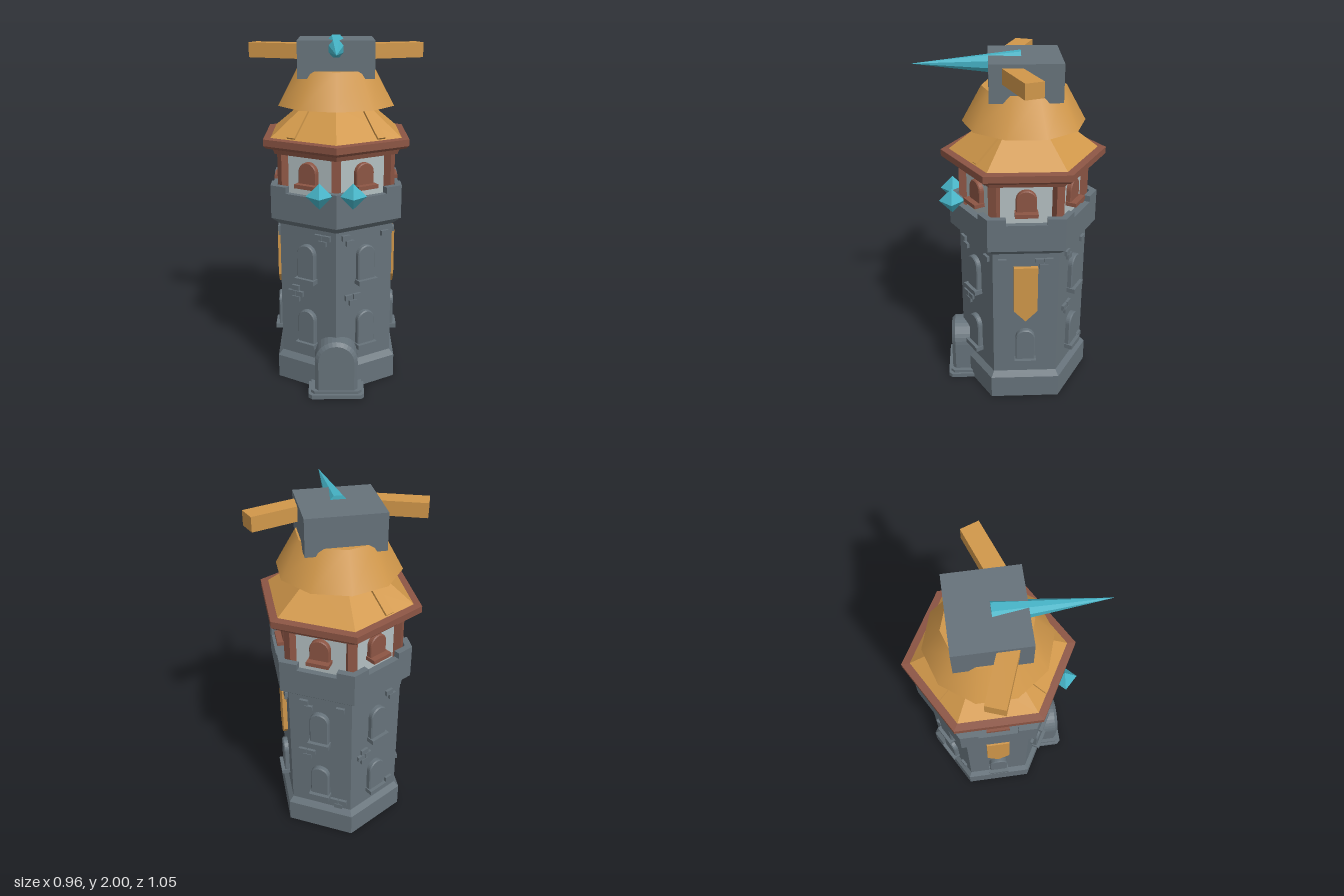
import * as THREE from 'three';

const mat = (name, color) => {
  const m = new THREE.MeshStandardMaterial({ color });
  m.name = name;
  return m;
};

export function createModel() {
  const stone = mat('stone', 0x66727a);
  const thatch = mat('ochre', 0xd0974a);
  const wood = mat('redWood', 0x8c5544);
  const plaster = mat('plaster', 0xb3bfc1);
  const crystal = mat('crystal', 0x45b3c6);

  const model = new THREE.Group();
  const tower = new THREE.Group();
  tower.name = 'tower';
  tower.position.z = -0.073;
  model.add(tower);

  const COS = Math.cos(Math.PI / 6);
  const add = (parent, name, geo, material, x = 0, y = 0, z = 0) => {
    const mesh = new THREE.Mesh(geo, material);
    mesh.name = name;
    mesh.position.set(x, y, z);
    parent.add(mesh);
    return mesh;
  };
  const flat = (geo) => {
    const g = geo.index ? geo.toNonIndexed() : geo;
    g.computeVertexNormals();
    return g;
  };
  const box = (w, h, d) => new THREE.BoxGeometry(w, h, d);
  // six-sided solid from a profile of [radius, y], corner towards +z
  const hex = (pts) => flat(new THREE.LatheGeometry(pts.map(p => new THREE.Vector2(...p)), 6));
  const extrude = (shape, depth, bevel = 0) => new THREE.ExtrudeGeometry(shape, {
    depth, curveSegments: 8, bevelEnabled: bevel > 0, bevelSize: bevel,
    bevelThickness: bevel, bevelOffset: -bevel, bevelSegments: 1,
  });
  const polygon = (pts) => new THREE.Shape(pts.map(p => new THREE.Vector2(...p)));
  const arch = (w, h, Type = THREE.Shape, y0 = 0) => {
    const s = new Type();
    s.moveTo(-w / 2, y0);
    s.lineTo(w / 2, y0);
    s.lineTo(w / 2, h - w / 2);
    s.absarc(0, h - w / 2, w / 2, 0, Math.PI, false);
    s.lineTo(-w / 2, y0);
    return s;
  };
  const archFrame = (w, h, t) => {
    const s = arch(w, h);
    s.holes.push(arch(w - 2 * t, h - t, THREE.Path, 0.004));
    return s;
  };
  // group lying on face i: x along the wall, z outwards
  const faceGroup = (i, name) => {
    const g = new THREE.Group();
    g.name = name;
    g.rotation.y = Math.PI / 6 + i * Math.PI / 3;
    tower.add(g);
    return g;
  };

  // stone shaft, plinth and parapet
  add(tower, 'stoneShaft', hex([
    [0, 0], [0.398, 0], [0.398, 0.14], [0.367, 0.172], [0.367, 0.97], [0.421, 1.01],
    [0.421, 1.165], [0.383, 1.165], [0.383, 1.13], [0, 1.13],
  ]), stone);

  // corner merlons
  const R = 0.421, arm = 0.1, t = 0.036;
  const ax = arm * COS, az = R - arm / 2;
  const merlon = extrude(polygon([
    [0, -R], [ax, -az], [ax - t / 2, -az + t * COS], [0, -R + t / COS],
    [-ax + t / 2, -az + t * COS], [-ax, -az],
  ]), 0.036);
  merlon.rotateX(-Math.PI / 2);

  // upper storey, posts and eaves
  add(tower, 'upperWalls', hex([[0.335, 1.12], [0.335, 1.41]]), plaster);
  for (let i = 0; i < 6; i++) {
    const corner = new THREE.Group();
    corner.name = 'corner';
    corner.rotation.y = i * Math.PI / 3;
    tower.add(corner);
    add(corner, 'merlon', merlon, stone, 0, 1.164, 0);
    add(corner, 'post', box(0.05, 0.27, 0.05), wood, 0, 1.26, 0.338);
  }
  add(tower, 'eaves', hex([
    [0, 1.375], [0.39, 1.375], [0.4, 1.4], [0.44, 1.41], [0.458, 1.425],
    [0.458, 1.462], [0.41, 1.466], [0, 1.466],
  ]), wood);

  // hexagonal lower roof with a few raised planks
  add(tower, 'lowerRoof', hex([[0.415, 1.464], [0.2, 1.63], [0.06, 1.74], [0, 1.74]]), thatch);
  const tilt = Math.atan2(0.166, 0.215 * COS);
  for (const [i, u] of [[0, 0.075], [5, -0.075], [3, 0.03]]) {
    const g = faceGroup(i, 'roofPlankSide');
    const plank = add(g, 'roofPlank', box(0.05, 0.02, 0.22), thatch, u, 1.545, 0.271);
    plank.rotation.x = tilt;
  }

  // upper roof collar
  add(tower, 'upperRoof', new THREE.CylinderGeometry(0.228, 0.336, 0.195, 10), thatch, 0, 1.722, 0);

  // stone windows, upper windows, banners and raised bricks on every wall
  const a = 0.367 * COS, b = 0.335 * COS;
  const stoneFrame = extrude(archFrame(0.112, 0.205, 0.026), 0.035, 0.006);
  const stonePane = extrude(arch(0.07, 0.185), 0.008);
  const woodFrame = extrude(archFrame(0.112, 0.125, 0.026), 0.03, 0.005);
  const woodPane = extrude(arch(0.07, 0.105), 0.008);
  const bannerGeo = extrude(polygon([
    [-0.067, 0.89], [-0.067, 0.61], [0, 0.54], [0.067, 0.61], [0.067, 0.89],
  ]), 0.03);
  // [u, y, pattern]: 0 single, 1 pair, 2 three, 3 cross
  const clusters = [
    [[-0.115, 0.92, 1], [0.128, 0.925, 0], [-0.08, 0.56, 2]],
    [[0.1, 0.91, 2], [-0.13, 0.925, 0]],
    [[-0.08, 0.915, 1], [0.12, 0.925, 0], [-0.08, 0.56, 2], [0.11, 0.21, 2]],
    [[0.1, 0.915, 1], [-0.09, 0.56, 3], [0.12, 0.25, 0]],
    [[0.1, 0.91, 2], [-0.13, 0.925, 0]],
    [[0.1, 0.915, 2], [-0.08, 0.565, 3]],
  ];
  const patterns = [
    [[0, 0]], [[-0.012, 0.017], [0.014, -0.017]],
    [[-0.026, 0.017], [0.026, 0.017], [0, -0.017]],
    [[0, 0.034], [-0.026, 0], [0.026, 0], [0, -0.034]],
  ];
  for (let i = 0; i < 6; i++) {
    const wall = faceGroup(i, 'wallDetails');
    const side = i % 3 === 1;
    for (const y of side ? [0.25] : [0.25, 0.65]) {
      add(wall, 'windowFrame', stoneFrame, stone, 0, y + 0.022, a - 0.012);
      add(wall, 'windowPane', stonePane, stone, 0, y + 0.022, a - 0.004);
      add(wall, 'windowLedge', box(0.125, 0.028, 0.055), stone, 0, y + 0.014, a + 0.022);
    }
    if (side) add(wall, 'banner', bannerGeo, thatch, 0, 0, a - 0.005);
    add(wall, 'upperWindowFrame', woodFrame, wood, 0, 1.217, b - 0.006);
    add(wall, 'upperWindowPane', woodPane, stone, 0, 1.217, b - 0.002);
    add(wall, 'upperWindowBar', box(0.008, 0.1, 0.012), wood, 0, 1.265, b + 0.006);
    add(wall, 'upperWindowLedge', box(0.125, 0.022, 0.065), wood, 0, 1.212, b + 0.03);
    for (const [u, y, p] of clusters[i]) {
      for (const [du, dy] of patterns[p]) {
        add(wall, 'raisedBrick', box(0.048, 0.03, 0.024), stone, u + du, y + dy, a + 0.004);
      }
    }
  }

  // doorway with step
  const door = new THREE.Group();
  door.name = 'doorway';
  model.add(door);
  const step = (w, front, h) => {
    const g = extrude(polygon([
      [-w, -0.15], [-w, -front + 0.02], [-w + 0.02, -front],
      [w - 0.02, -front], [w, -front + 0.02], [w, -0.15],
    ]), h);
    return g.rotateX(-Math.PI / 2);
  };
  add(door, 'lowerStep', step(0.16, 0.39, 0.025), stone);
  add(door, 'upperStep', step(0.145, 0.375, 0.042), stone);
  add(door, 'doorSurround', extrude(arch(0.245, 0.34), 0.2, 0.02), stone, 0, 0, 0.145);
  add(door, 'doorFrame', extrude(archFrame(0.165, 0.25, 0.022), 0.04), wood, 0, 0.04, 0.312);
  add(door, 'doorPanel', extrude(arch(0.13, 0.232), 0.03), wood, 0, 0.04, 0.305);
  for (const y of [0.08, 0.225]) add(door, 'doorBand', box(0.12, 0.014, 0.012), wood, 0, y, 0.338);
  add(door, 'doorKnob', new THREE.SphereGeometry(0.01, 8, 6), stone, 0.035, 0.155, 0.342);

  // block on top with swept-back side beams
  add(model, 'topBlock', box(0.415, 0.2, 0.382), stone, 0, 1.88, -0.074);
  for (const s of [-1, 1]) {
    const beam = add(model, 'sideBeam', box(0.38, 0.08, 0.101), thatch, s * 0.284, 1.92, -0.032);
    beam.rotation.y = s * 0.35;
    // crystal on the parapet
    add(model, 'parapetCrystal', new THREE.OctahedronGeometry(0.072), crystal, s * 0.09, 1.19, 0.33);
  }

  // long crystal spike pointing forward
  const spike = new THREE.ConeGeometry(0.066, 0.575, 8);
  spike.rotateY(Math.PI / 8);
  spike.rotateX(Math.PI / 2);
  spike.scale(0.92, 1.03, 1);
  add(model, 'crystalSpike', flat(spike), crystal, 0, 1.937, 0.2325);

  return model;
}
